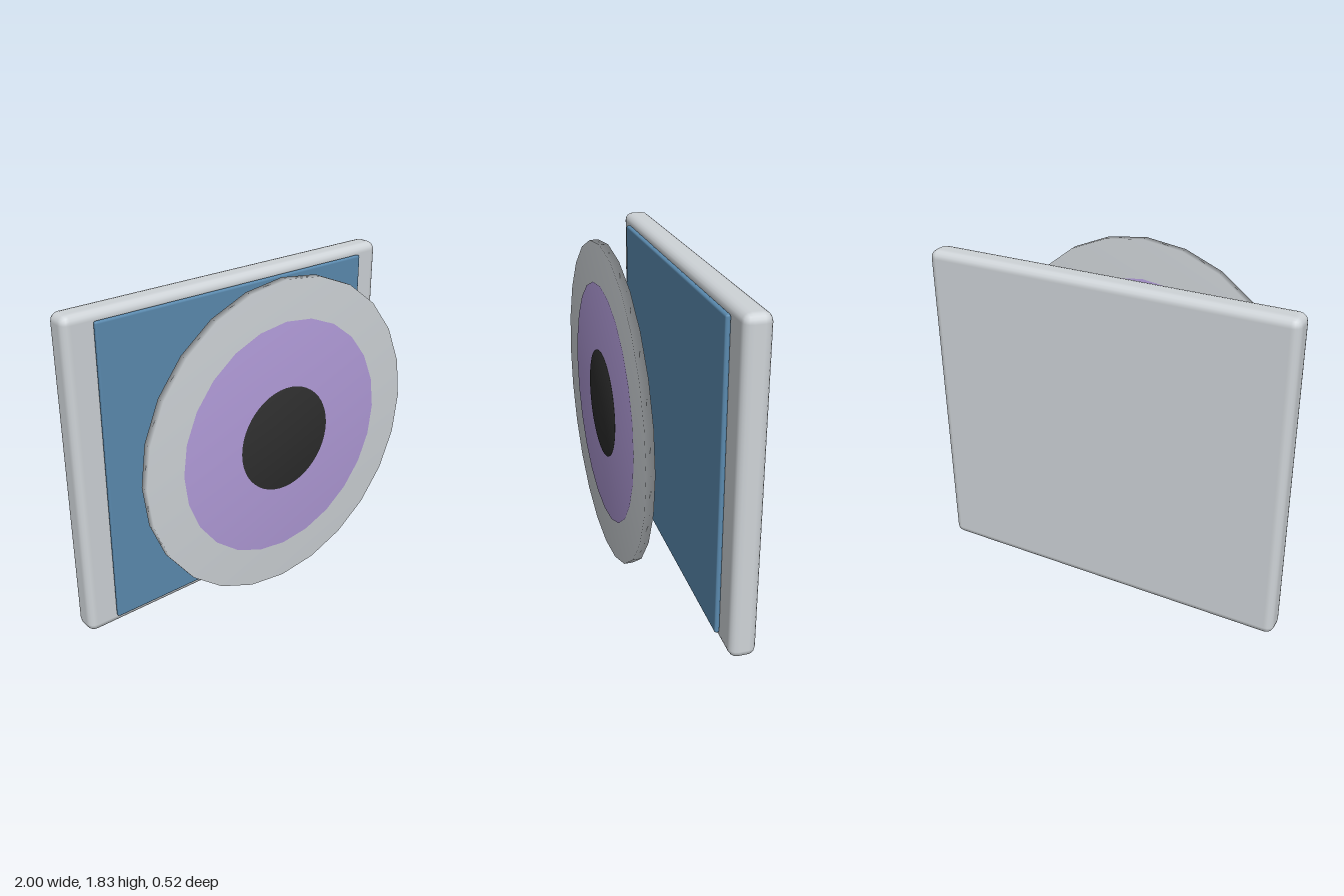
import * as THREE from 'three';
import { RoundedBoxGeometry } from 'three/addons/geometries/RoundedBoxGeometry.js';

const material = (name, color) => {
  const m = new THREE.MeshStandardMaterial({ color });
  m.name = name;
  return m;
};

export function createModel() {
  const grey = material('pale grey', 0xcfd4d8);
  const blue = material('steel blue', 0x5b8bb0);
  const purple = material('lavender', 0xb39ddb);
  const black = material('soft black', 0x2f2f2f);

  const model = new THREE.Group();
  model.name = 'eyePanel';

  const add = (parent, name, geometry, mat, x, y, z) => {
    const mesh = new THREE.Mesh(geometry, mat);
    mesh.name = name;
    mesh.position.set(x, y, z);
    parent.add(mesh);
  };

  // Disc facing z, with normals blended over its rim
  const disc = (radius, halfDepth, sides) => {
    const profile = [[0, -halfDepth], [radius, -halfDepth], [radius, halfDepth], [0, halfDepth]];
    return new THREE.LatheGeometry(profile.map(([r, h]) => new THREE.Vector2(r, h)), sides)
      .rotateX(Math.PI / 2);
  };

  // Backing board and the thin screen on its front
  add(model, 'board', new RoundedBoxGeometry(2, 1.76, 0.14, 2, 0.045), grey, 0, 0.88, -0.192);
  add(model, 'screen', new RoundedBoxGeometry(1.69, 1.66, 0.028, 1, 0.012), blue, 0, 0.885, -0.109);

  // Floating eye: nested discs, each slightly proud of the last on both sides
  const eye = new THREE.Group();
  eye.name = 'eye';
  eye.position.set(0, 0.989, 0.234);
  add(eye, 'eyeWhite', disc(0.843, 0.022, 24), grey, 0, 0, 0);
  add(eye, 'iris', disc(0.632, 0.0245, 24), purple, 0, 0, 0);
  add(eye, 'pupil', disc(0.282, 0.028, 48), black, 0, 0, 0);
  model.add(eye);

  return model;
}
